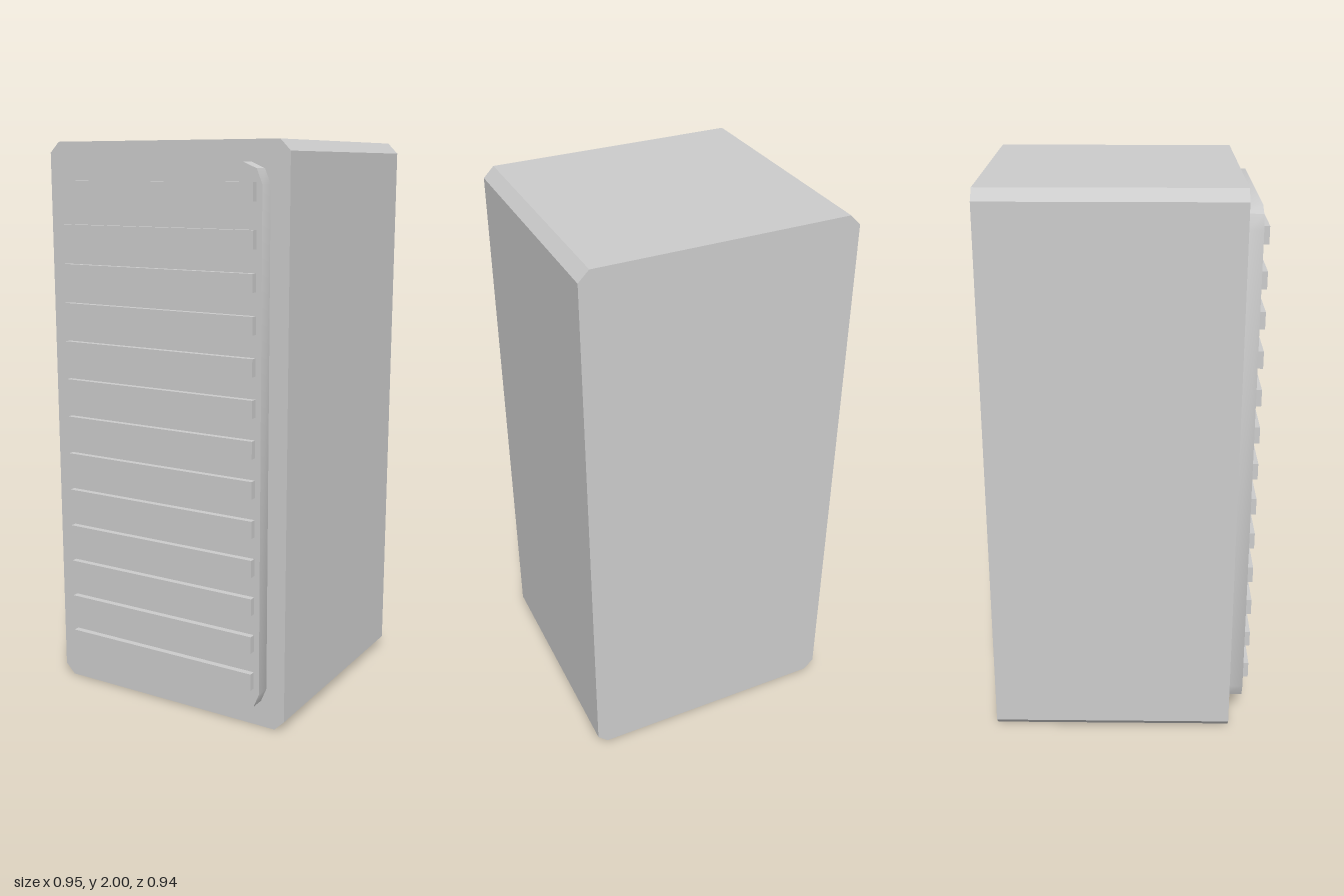
import * as THREE from 'three';
import { toCreasedNormals } from 'three/addons/utils/BufferGeometryUtils.js';

const material = new THREE.MeshStandardMaterial({ color: 0xcccccc });

function addMesh(group, name, geometry, x, y, z) {
  const mesh = new THREE.Mesh(geometry, material);
  mesh.name = name;
  mesh.position.set(x, y, z);
  group.add(mesh);
}

// Upright slab with its four front-view corners cut in the given number of steps
function corneredSlab(width, height, depth, radius, steps) {
  const points = [];
  for (let corner = 0; corner < 4; corner++) {
    const sx = corner === 0 || corner === 3 ? 1 : -1;
    const sy = corner < 2 ? 1 : -1;
    for (let i = 0; i <= steps; i++) {
      const a = (corner + i / steps) * Math.PI / 2;
      points.push(new THREE.Vector2(
        sx * (width / 2 - radius) + radius * Math.cos(a),
        sy * (height / 2 - radius) + radius * Math.sin(a)));
    }
  }
  const geometry = new THREE.ExtrudeGeometry(new THREE.Shape(points), { depth, bevelEnabled: false });
  return toCreasedNormals(geometry, Math.PI / 6);
}

export function createModel() {
  const group = new THREE.Group();
  group.name = 'cabinet';

  // Main case with chamfered long edges
  addMesh(group, 'case', corneredSlab(0.95, 2, 0.86, 0.037, 1), 0, 1, -0.468);

  // Raised front panel with rounded corners
  addMesh(group, 'frontPanel', corneredSlab(0.81, 1.855, 0.054, 0.07, 2), 0, 1.0025, 0.392);

  // Horizontal slats; the top one sits slightly further apart
  const slats = new THREE.Group();
  slats.name = 'slats';
  const slatGeometry = new THREE.BoxGeometry(0.755, 0.06, 0.022);
  for (let i = 0; i < 13; i++) {
    const y = i === 12 ? 1.838 : 0.194 + i * 0.136;
    addMesh(slats, 'slat', slatGeometry, 0.007, y, 0.457);
  }
  group.add(slats);

  return group;
}
